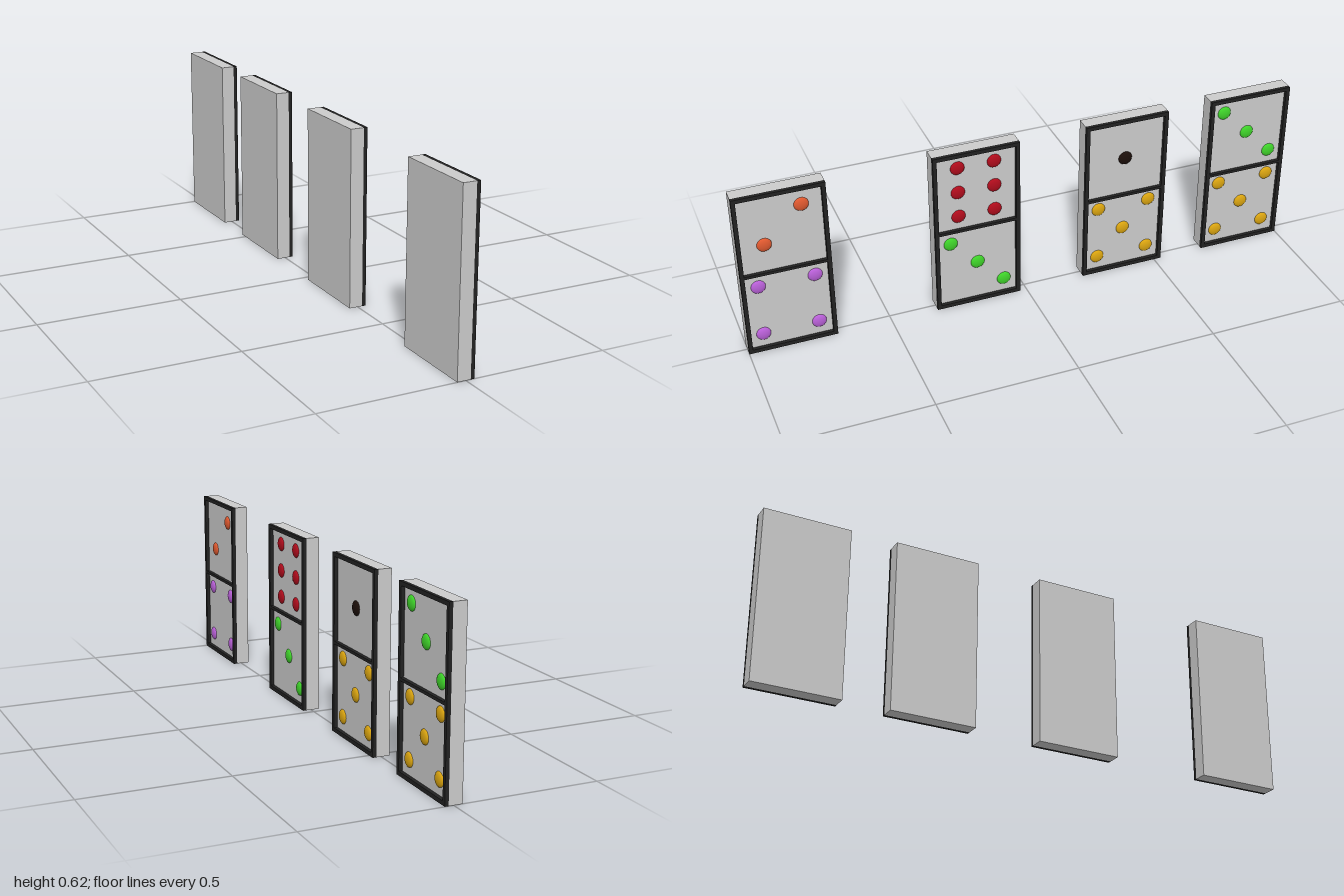
import * as THREE from 'three';

const W = 0.308, H = 0.615, BACK = -0.03, FACE = 0.017, FRONT = 0.03;
const BORDER = 0.014, MID = 0.31, BAR = 0.01;

const material = (color) => new THREE.MeshStandardMaterial({ color });
const grey = material(0xcccccc), black = material(0x222222);
const orange = material(0xe0592f), purple = material(0xb960d8), red = material(0xb00c1c);
const green = material(0x3fd42a), yellow = material(0xdba510), dark = material(0x1c0f0a);

// Pip layouts as [z offset, height]
const A = 0.096;
const four = [[A, 0.257], [-A, 0.257], [A, 0.064], [-A, 0.064]];
const five = [[A, 0.265], [-A, 0.265], [0, 0.166], [A, 0.064], [-A, 0.064]];
const two = [[-0.072, 0.543], [0.061, 0.417]];
const six = [0.556, 0.46, 0.364].flatMap((y) => [[0.065, y], [-0.065, y]]);
const threeTop = [[A, 0.556], [0, 0.46], [-A, 0.364]];
const threeLow = [[A, 0.257], [0, 0.16], [-A, 0.064]];
const one = [[0, 0.457]];

const tiles = [
  { z: 0.846, top: [two, orange], low: [four, purple] },
  { z: 0.178, top: [six, red], low: [threeLow, green] },
  { z: -0.372, top: [one, dark], low: [five, yellow] },
  { z: -0.846, top: [threeTop, green], low: [five, yellow] },
];

function rectangle(target, x0, y0, x1, y1) {
  target.moveTo(x0, y0).lineTo(x1, y0).lineTo(x1, y1).lineTo(x0, y1).closePath();
  return target;
}

// Raised rim with a divider, cut as one plate with two windows
function frameGeometry() {
  const plate = rectangle(new THREE.Shape(), -W / 2, 0, W / 2, H);
  const inner = W / 2 - BORDER;
  for (const [y0, y1] of [[BORDER, MID - BAR / 2], [MID + BAR / 2, H - BORDER]]) {
    plate.holes.push(rectangle(new THREE.Path(), -inner, y0, inner, y1));
  }
  return new THREE.ExtrudeGeometry(plate, { depth: FRONT - FACE, bevelEnabled: false })
    .rotateY(Math.PI / 2)
    .translate(FACE, 0, 0);
}

export function createModel() {
  const model = new THREE.Group();
  model.name = 'dominoes';
  const bodyGeometry = new THREE.BoxGeometry(FACE - BACK, H, W)
    .translate((FACE + BACK) / 2, H / 2, 0);
  const rimGeometry = frameGeometry();
  const pipGeometry = new THREE.SphereGeometry(0.025, 32, 16).scale(0.4, 1, 1);

  tiles.forEach(({ z, top, low }, i) => {
    const tile = new THREE.Group();
    tile.name = `domino${i + 1}`;
    tile.position.z = z;
    const add = (name, geometry, mat) => {
      const mesh = new THREE.Mesh(geometry, mat);
      mesh.name = name;
      tile.add(mesh);
      return mesh;
    };
    add('body', bodyGeometry, grey);
    add('frame', rimGeometry, black);
    // Flattened pips on the recessed face
    for (const [layout, mat] of [top, low]) {
      for (const [dz, y] of layout) add('pip', pipGeometry, mat).position.set(FACE, y, dz);
    }
    model.add(tile);
  });
  return model;
}
